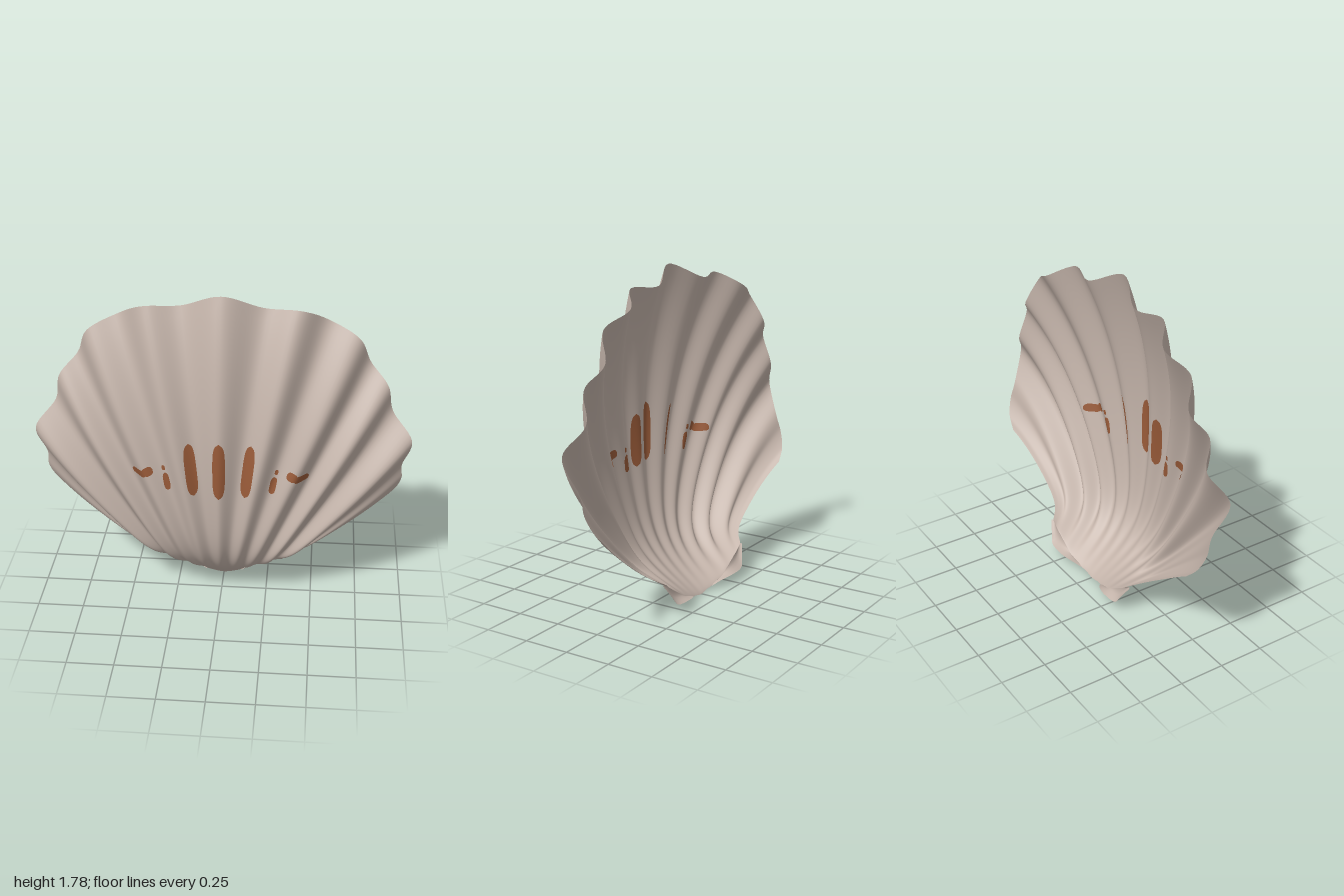
import * as THREE from 'three';

const V = (x, y, z = 0) => new THREE.Vector3(x, y, z);

// Rib lines of one half, alternating crest and valley from the middle outwards
const RIM = [
  [0, 1.78, 0.06], [0.21, 1.695, -0.02], [0.4, 1.7, 0.02], [0.54, 1.62, -0.075],
  [0.7, 1.54, -0.03], [0.765, 1.39, -0.085], [0.86, 1.28, -0.03], [0.895, 1.12, -0.065],
  [1, 0.98, 0], [0.963, 0.8, -0.07], [0.968, 0.7, -0.1], [0.935, 0.61, -0.13], [0.87, 0.54, -0.145],
];
const HINGE = [
  [0, 0, -0.15], [0.03, 0.003, -0.15], [0.06, 0.01, -0.15], [0.09, 0.015, -0.155],
  [0.12, 0.025, -0.16], [0.16, 0.04, -0.165], [0.2, 0.06, -0.17], [0.24, 0.085, -0.17],
  [0.28, 0.11, -0.17], [0.32, 0.135, -0.17], [0.35, 0.155, -0.17], [0.365, 0.168, -0.17], [0.38, 0.18, -0.17],
];
const BULGE = [1, 0.94, 1, 0.96, 1, 0.85, 0.92, 0.65, 0.7, 0.42, 0.4, 0.31, 0.22];

// Smooth curve through a half profile and its mirror image
function mirrored(points) {
  const right = points.map(p => V(...p));
  const left = right.slice(1).reverse().map(p => V(-p.x, p.y, p.z));
  return new THREE.CatmullRomCurve3([...left, ...right], false, 'catmullrom', 0.5);
}
const rim = mirrored(RIM);
const hinge = mirrored(HINGE);
const bulge = mirrored(BULGE.map((b, i) => [i / 12, b, 0]));

// Shell surface: u runs across the fan (-1..1), t from hinge to rim (0..1)
function shellPoint(u, t) {
  const k = THREE.MathUtils.clamp((u + 1) / 2, 0, 1);
  const h = hinge.getPoint(k), r = rim.getPoint(k);
  const spread = Math.pow(t, 1.22 - 0.27 * Math.abs(u));
  const dome = 0.3 * (1 - Math.exp(-((t / 0.1) ** 1.3))) * (1 - t ** 3);
  return V(
    h.x + (r.x - h.x) * spread,
    h.y + (r.y - h.y) * t,
    h.z + (r.z - h.z) * t + bulge.getPoint(k).y * dome
  );
}

// Point on the shell above a given x, y
function onShell(x, y, lift) {
  let lo = -1, hi = 1, p;
  for (let i = 0; i < 24; i++) {
    const u = (lo + hi) / 2, k = (u + 1) / 2;
    const h = hinge.getPoint(k), r = rim.getPoint(k);
    p = shellPoint(u, THREE.MathUtils.clamp((y - h.y) / (r.y - h.y), 0, 1));
    if (p.x < x) lo = u; else hi = u;
  }
  return V(x, y, p.z + lift);
}

// Grid surface from a function of a, b in 0..1
function surface(fn, na, nb) {
  const pos = [], index = [];
  for (let j = 0; j <= nb; j++) {
    for (let i = 0; i <= na; i++) {
      const p = fn(i / na, j / nb);
      pos.push(p.x, p.y, p.z);
      if (i < na && j < nb) {
        const a = j * (na + 1) + i, c = a + na + 1;
        index.push(a, a + 1, c + 1, a, c + 1, c);
      }
    }
  }
  const g = new THREE.BufferGeometry();
  g.setAttribute('position', new THREE.Float32BufferAttribute(pos, 3));
  g.setIndex(index);
  g.computeVertexNormals();
  return g;
}

export function createModel() {
  const group = new THREE.Group();
  const shellMat = new THREE.MeshStandardMaterial({ color: 0xc4b4aa, side: THREE.DoubleSide });
  shellMat.name = 'shell beige';
  const markMat = new THREE.MeshStandardMaterial({ color: 0x985a38, side: THREE.DoubleSide });
  markMat.name = 'rust brown';
  const add = (name, geometry, material) => {
    const m = new THREE.Mesh(geometry, material);
    m.name = name;
    group.add(m);
  };

  // Ribbed fan
  add('shellFan', surface((a, b) => shellPoint(a * 2 - 1, b ** 1.5), 192, 44), shellMat);

  // Small ears either side of the hinge
  const earEdge = new THREE.CatmullRomCurve3([
    V(0.1, 0.018, -0.16), V(0.15, 0.045, -0.195), V(0.22, 0.055, -0.215),
    V(0.33, 0.065, -0.21), V(0.36, 0.11, -0.195), V(0.4, 0.175, -0.17),
  ]);
  for (const side of [1, -1]) {
    const ear = (a, b) => {
      const p = hinge.getPoint((1 + 0.28 + 0.72 * a) / 2).lerp(earEdge.getPoint(a), b);
      p.z += 0.012 * Math.sin(Math.PI * b);
      p.x *= side;
      return p;
    };
    add(side > 0 ? 'leftEar' : 'rightEar', surface(ear, 20, 4), shellMat);
  }

  // Painted marks on both faces: start x, y, end x, y, half width
  const marks = [
    [0, 0.7, 0, 1.03, 0.033],
    [0.133, 0.7, 0.165, 1.0, 0.029],
    [0.272, 0.71, 0.29, 0.81, 0.017],
    [0.296, 0.823, 0.302, 0.852, 0.009],
    [0.355, 0.835, 0.405, 0.812, 0.025],
    [0.39, 0.806, 0.468, 0.808, 0.022],
  ];
  for (const [x0, y0, x1, y1, w] of marks) {
    const len = Math.hypot(x1 - x0, y1 - y0);
    const nx = (y1 - y0) / len, ny = -(x1 - x0) / len;
    for (const side of x1 > 0 ? [1, -1] : [1]) {
      for (const lift of [0.003, -0.003]) {
        const mark = (a, b) => {
          const s = (a * 2 - 1) * w * Math.sqrt(1 - (2 * b - 1) ** 4);
          return onShell(side * (x0 + (x1 - x0) * b + nx * s), y0 + (y1 - y0) * b + ny * s, lift);
        };
        add(lift > 0 ? 'frontMark' : 'backMark', surface(mark, 8, 20), markMat);
      }
    }
  }
  return group;
}
